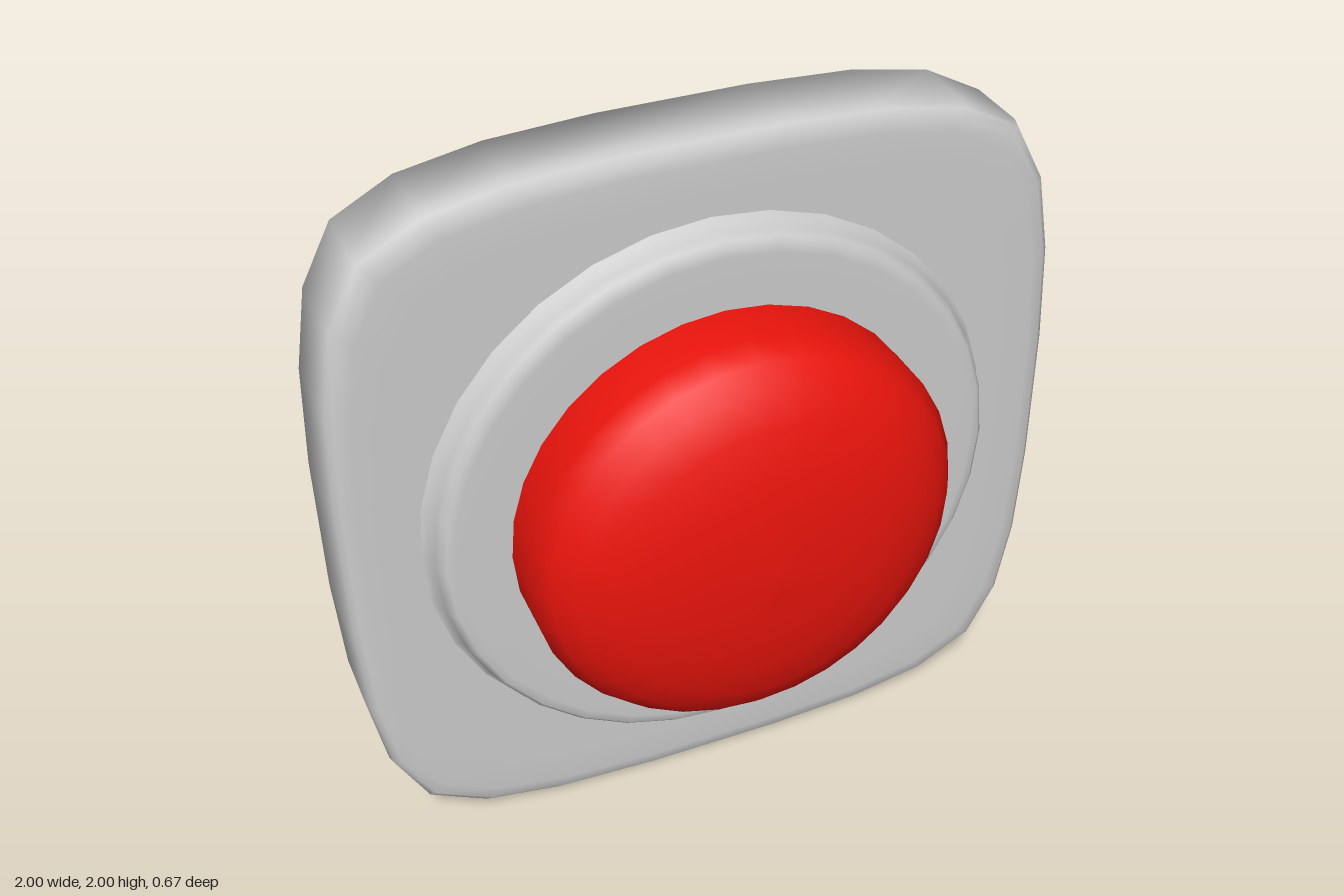
import * as THREE from 'three';

// One quarter of the plate outline, counter-clockwise
const QUARTER = [[1, 0.2], [0.985, 0.48], [0.945, 0.7], [0.86, 0.86], [0.7, 0.945], [0.48, 0.985], [0.2, 1]];

function plateOutline() {
  const points = [];
  for (let q = 0; q < 4; q++) {
    for (const [x, y] of QUARTER) {
      points.push(new THREE.Vector2(x, y).rotateAround(new THREE.Vector2(), q * Math.PI / 2));
    }
  }
  return points;
}

// Loft the outline through rings of [scale, z, limit]; the limit squares off inner rings
function loftPlate(rings) {
  const outline = plateOutline();
  const n = outline.length;
  const positions = [];
  const index = [];
  rings.forEach(([scale, z, limit = 2], i) => {
    outline.forEach((p, j) => {
      const x = THREE.MathUtils.clamp(p.x * scale, -limit, limit);
      const y = THREE.MathUtils.clamp(p.y * scale, -limit, limit);
      positions.push(x, y, z);
      if (i === rings.length - 1) return;
      const a = i * n + j;
      const b = i * n + (j + 1) % n;
      index.push(a, b, b + n, a, b + n, a + n);
    });
  });
  const geometry = new THREE.BufferGeometry();
  geometry.setAttribute('position', new THREE.Float32BufferAttribute(positions, 3));
  geometry.setIndex(index);
  geometry.computeVertexNormals();
  return geometry;
}

// Turn a [radius, z] profile about the z axis
function turned(profile, segments) {
  const points = profile.map(([r, z]) => new THREE.Vector2(r, z));
  return new THREE.LatheGeometry(points, segments).rotateX(Math.PI / 2);
}

export function createModel() {
  const model = new THREE.Group();
  const grey = new THREE.MeshStandardMaterial({ color: 0xcccccc });
  const red = new THREE.MeshStandardMaterial({ color: 0xe8140c });

  const add = (name, geometry, material) => {
    const mesh = new THREE.Mesh(geometry, material);
    mesh.name = name;
    mesh.position.y = 1;
    model.add(mesh);
  };

  // Square plate with soft corners, flat back and rounded front edge
  add('backPlate', loftPlate([
    [0, -0.335], [0.6, -0.335], [1, -0.335, 0.78], [1, -0.335],
    [1, -0.15], [0.992, -0.118], [0.975, -0.102], [0.94, -0.096], [0.85, -0.095], [0, -0.095],
  ]), grey);

  // Raised round collar
  add('collar', turned([
    [0.8, -0.096], [0.785, -0.085], [0.775, -0.05], [0.768, -0.025],
    [0.755, -0.013], [0.73, -0.01], [0.65, -0.01], [0, -0.01],
  ], 32), grey);

  // Domed push button
  add('button', turned([
    [0.585, -0.03], [0.585, 0.13], [0.55, 0.188], [0.5, 0.235], [0.42, 0.278],
    [0.3, 0.311], [0.15, 0.33], [0, 0.335],
  ], 32), red);

  return model;
}
